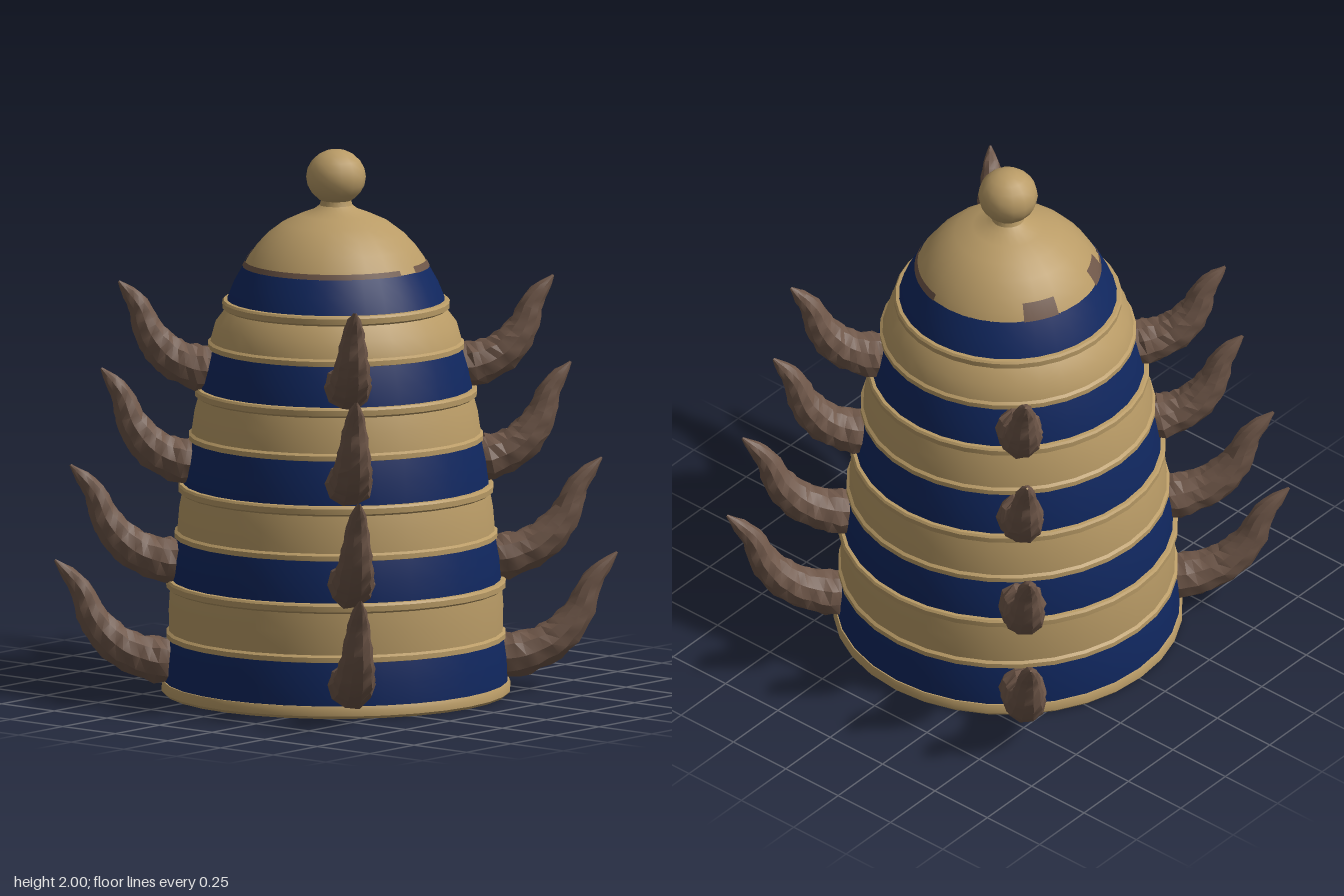
import * as THREE from 'three';
import { toCreasedNormals } from 'three/addons/utils/BufferGeometryUtils.js';

const V2 = (p) => new THREE.Vector2(p[0], p[1]);

function material(name, color) {
  const m = new THREE.MeshStandardMaterial({ color });
  m.name = name;
  return m;
}

// Turned part from [radius, height] points, listed from the bottom up
function turned(name, points, mat, segments = 32, start = 0, length = Math.PI * 2) {
  const geo = new THREE.LatheGeometry(points.map(V2), segments, start, length);
  const mesh = new THREE.Mesh(toCreasedNormals(geo, 0.5), mat);
  mesh.name = name;
  return mesh;
}

// Curved, tapering horn lying in the x/y plane, with a rough carved surface
function hornGeometry(reach, height, seed) {
  const spine = [[0, 0], [0.17, 0.01], [0.46, 0.14], [0.68, 0.42], [0.79, 0.72], [1, 1]];
  const curve = new THREE.CatmullRomCurve3(
    spine.map(([x, y]) => new THREE.Vector3(x * reach, y * height, 0)));
  const rings = 18, sides = 10;
  const radii = [0.078, 0.086, 0.077, 0.074, 0.068, 0.059, 0.05, 0.04, 0.028, 0.004];
  const geo = new THREE.TubeGeometry(curve, rings, 1, sides, false);
  const pos = geo.attributes.position;
  const p = new THREE.Vector3();
  for (let i = 0; i <= rings; i++) {
    const t = i / rings;
    const centre = curve.getPointAt(t);
    const f = t * (radii.length - 1);
    const k = Math.min(Math.floor(f), radii.length - 2);
    const r = THREE.MathUtils.lerp(radii[k], radii[k + 1], f - k);
    for (let j = 0; j <= sides; j++) {
      const n = i * (sides + 1) + j;
      const rough = 1 + 0.06 * Math.sin(i * 2.3 + (j % sides) * 4.1 + seed);
      p.fromBufferAttribute(pos, n).sub(centre).multiplyScalar(r * rough).add(centre);
      pos.setXYZ(n, p.x, p.y, p.z);
    }
  }
  geo.computeVertexNormals();
  return toCreasedNormals(geo, 0.45);
}

export function createModel() {
  const model = new THREE.Group();
  model.name = 'hornedHive';
  const gold = material('gold', 0xb99b66);
  const blue = material('navy', 0x10275f);
  const brown = material('hornBrown', 0x6f5749);

  // Underside and foot rim
  const base = new THREE.Mesh(new THREE.CircleGeometry(0.63, 32).rotateX(Math.PI / 2), brown);
  base.name = 'underside';
  model.add(base);
  model.add(turned('footRim',
    [[0.628, 0], [0.637, 0.01], [0.637, 0.03], [0.631, 0.045], [0.62, 0.047]], gold));

  // Blue bands: [bottom radius, bottom height, top radius, top height]
  const blueBands = [
    [0.627, 0.045, 0.612, 0.205],
    [0.603, 0.42, 0.582, 0.575],
    [0.558, 0.772, 0.53, 0.935],
    [0.498, 1.125, 0.46, 1.272],
    [0.398, 1.447, 0.338, 1.572],
  ];
  blueBands.forEach(([r0, y0, r1, y1]) => {
    const mid = [(r0 + r1) / 2 + 0.005, (y0 + y1) / 2];
    model.add(turned('blueBand', [[r0, y0], mid, [r1, y1]], blue));
  });

  // Gold bands between them, each with a lower lip and a raised upper rib
  for (let i = 0; i < blueBands.length - 1; i++) {
    const [, , r0, y0] = blueBands[i];
    const [r1, y1] = blueBands[i + 1];
    const mid = [(r0 + r1) / 2 + (i === 3 ? 0.012 : 0.004), (y0 + y1) / 2];
    model.add(turned('goldBand', [
      [r0 - 0.004, y0 - 0.003], [r0 + 0.008, y0], [r0 + 0.008, y0 + 0.018], [r0 - 0.002, y0 + 0.026],
      mid,
      [r1 + 0.004, y1 - 0.036], [r1 + 0.017, y1 - 0.028], [r1 + 0.018, y1 - 0.008],
      [r1 + 0.012, y1], [r1 - 0.004, y1 + 0.002],
    ], gold));
  }

  // Domed cap and neck
  model.add(turned('dome', [
    [0.338, 1.57], [0.322, 1.6], [0.29, 1.645], [0.248, 1.69], [0.195, 1.73], [0.13, 1.76],
    [0.082, 1.778], [0.06, 1.795], [0.054, 1.815], [0.058, 1.835],
  ], gold, 24));

  // Worn edge of the dome
  const fringe = (start, length, top) => model.add(turned('wornEdge', [
    [0.341, 1.571], [0.325, 1.601], [0.325 - (top - 1.601) * 0.71, top],
  ].filter((p, i) => i !== 1 || top > 1.601), brown, 16, start, length));
  fringe(-2.6, 2.5, 1.59);
  fringe(0.15, 1.2, 1.595);
  fringe(2.45, 0.4, 1.63);
  fringe(3.5, 0.35, 1.63);

  // Ball finial
  const ball = new THREE.Mesh(new THREE.SphereGeometry(0.109, 14, 10), gold);
  ball.name = 'ballFinial';
  ball.scale.y = 0.93;
  ball.position.y = 1.8987;
  model.add(ball);

  // Horn rows: [base x, tip x, base height, tip height], on the four diagonals
  const rows = [
    [0.415, 0.727, 0.125, 0.5],
    [0.39, 0.687, 0.49, 0.85],
    [0.355, 0.607, 0.855, 1.205],
    [0.315, 0.562, 1.2, 1.525],
  ];
  rows.forEach(([x0, x1, y0, y1], row) => {
    const geo = hornGeometry((x1 - x0) * Math.SQRT2, y1 - y0, row * 1.7);
    for (let k = 0; k < 4; k++) {
      const pivot = new THREE.Group();
      pivot.name = 'hornMount';
      pivot.rotation.y = Math.PI / 4 + k * Math.PI / 2;
      const horn = new THREE.Mesh(geo, brown);
      horn.name = 'horn';
      horn.position.set(x0 * Math.SQRT2, y0, 0);
      pivot.add(horn);
      model.add(pivot);
    }
  });
  return model;
}
